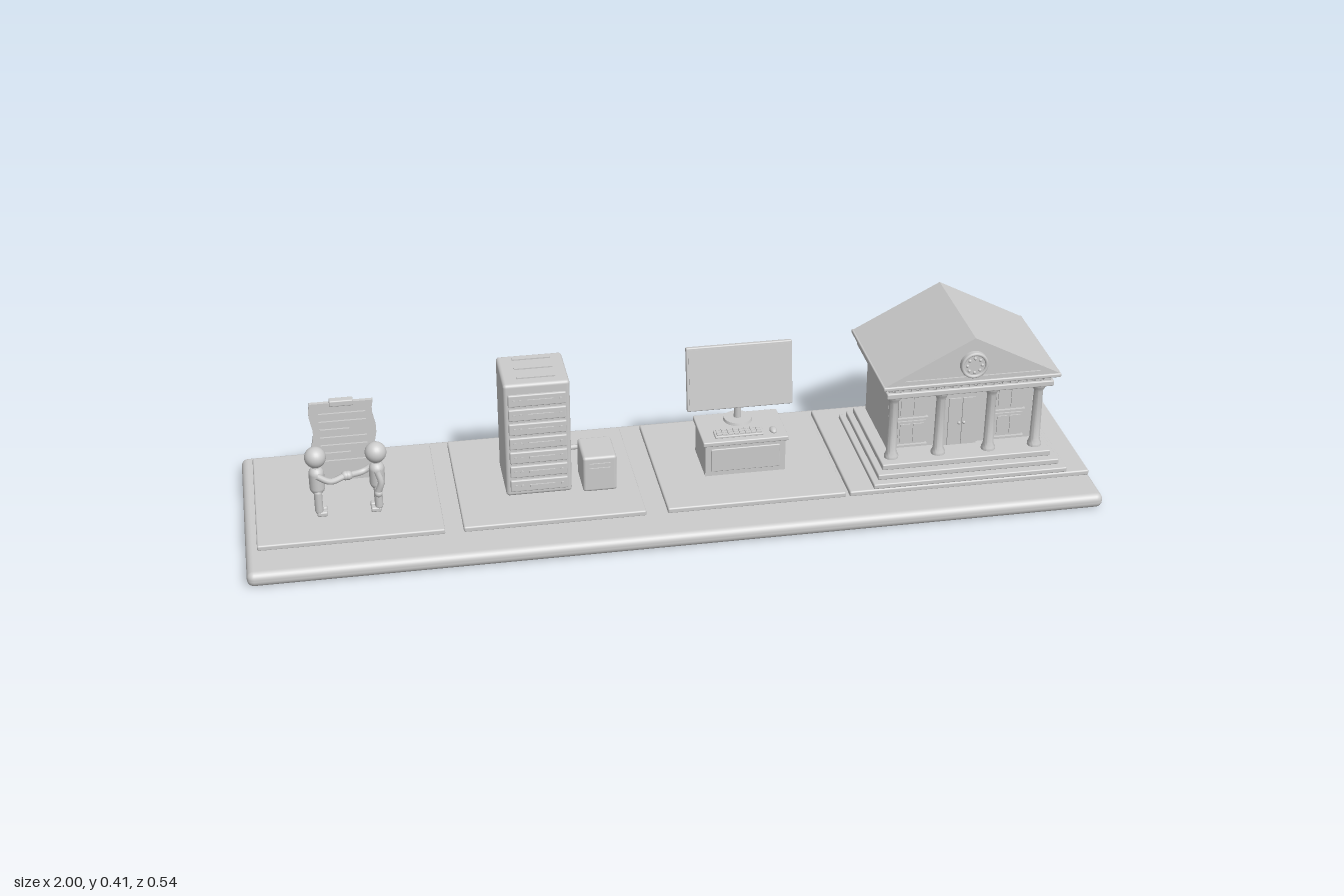
import * as THREE from 'three';
import { RoundedBoxGeometry } from 'three/addons/geometries/RoundedBoxGeometry.js';
import { toCreasedNormals } from 'three/addons/utils/BufferGeometryUtils.js';

const grey = new THREE.MeshStandardMaterial({ color: 0xcccccc });
grey.name = 'plain grey';

function add(parent, name, geometry, x = 0, y = 0, z = 0) {
  const mesh = new THREE.Mesh(geometry, grey);
  mesh.name = name;
  mesh.position.set(x, y, z);
  parent.add(mesh);
  return mesh;
}
// Box given by its limits on each axis, with optional rounded edges
function box(parent, name, x0, x1, y0, y1, z0, z1, r = 0) {
  const s = [x1 - x0, y1 - y0, z1 - z0];
  const g = r ? new RoundedBoxGeometry(...s, 3, r) : new THREE.BoxGeometry(...s);
  return add(parent, name, g, (x0 + x1) / 2, (y0 + y1) / 2, (z0 + z1) / 2);
}
function tube(parent, name, points, r) {
  const curve = new THREE.CatmullRomCurve3(points.map(p => new THREE.Vector3(...p)));
  return add(parent, name, new THREE.TubeGeometry(curve, 24, r, 10));
}
function group(parent, name) {
  const g = new THREE.Group();
  g.name = name;
  parent.add(g);
  return g;
}
const FLOOR = 0.048;

// Two people shaking hands in front of a signed sheet
function makeAgreement(root) {
  const g = group(root, 'agreement');
  const sheet = new THREE.Shape();
  const side = [];
  for (let i = 0; i <= 12; i++) side.push([0.004 * Math.sin(i * 1.05), FLOOR + 0.208 * i / 12]);
  side.forEach(([w, y], i) => i ? sheet.lineTo(-0.681 + w, y) : sheet.moveTo(-0.681 + w, y));
  side.reverse().forEach(([w, y]) => sheet.lineTo(-0.829 + w, y));
  add(g, 'sheet', new THREE.ExtrudeGeometry(sheet, { depth: 0.01, bevelEnabled: false }), 0, 0, -0.108);
  box(g, 'sheetClip', -0.783, -0.727, 0.248, 0.263, -0.112, -0.092, 0.003);
  for (let i = 0; i < 7; i++) {
    box(g, 'writtenLine', -0.81, i % 3 === 2 ? -0.74 : -0.70, 0.225 - i * 0.021, 0.23 - i * 0.021, -0.098, -0.093);
  }
  for (const s of [-1, 1]) {
    const p = group(g, s < 0 ? 'rightPerson' : 'leftPerson');
    p.position.set(-0.757 + s * 0.069, 0, 0.047);
    add(p, 'head', new THREE.SphereGeometry(0.025, 24, 16), 0, 0.197, 0);
    add(p, 'neck', new THREE.CylinderGeometry(0.009, 0.009, 0.02, 12), 0, 0.17, 0);
    add(p, 'torso', new THREE.CapsuleGeometry(0.018, 0.035, 6, 18), 0, 0.137, 0).scale.z = 1.1;
    for (const k of [-1, 1]) {
      add(p, 'leg', new THREE.CapsuleGeometry(0.0095, 0.046, 4, 12), 0, 0.085, k * 0.011);
      box(p, 'shoe', -0.012 - s * 0.007, 0.012 - s * 0.007, FLOOR, 0.06, k * 0.011 - 0.009, k * 0.011 + 0.009, 0.004);
    }
    tube(p, 'shakingArm', [[0, 0.158, -s * 0.021], [-s * 0.03, 0.14, -s * 0.018], [-s * 0.066, 0.142, 0]], 0.0075);
    add(p, 'hand', new THREE.SphereGeometry(0.011, 14, 10), -s * 0.066, 0.142, 0);
    tube(p, 'restingArm', [[0, 0.158, s * 0.021], [s * 0.007, 0.13, s * 0.025], [0, 0.104, s * 0.022]], 0.0075);
    add(p, 'restingHand', new THREE.SphereGeometry(0.0095, 14, 10), 0, 0.1, s * 0.022);
  }
}

// Rack of servers with a small cabled unit beside it
function makeServer(root) {
  const g = group(root, 'serverRack');
  box(g, 'rackCabinet', -0.39, -0.235, FLOOR, 0.342, -0.1, 0.05, 0.008);
  for (let i = 0; i < 7; i++) {
    const y = 0.062 + i * 0.0375;
    box(g, 'serverUnit', -0.38, -0.245, y, y + 0.03, 0.045, 0.056, 0.003);
    box(g, 'driveSlot', -0.335, -0.275, y + 0.012, y + 0.018, 0.055, 0.059);
    for (const x of [-0.367, -0.352, -0.258]) {
      add(g, 'statusLamp', new THREE.CylinderGeometry(0.004, 0.004, 0.005, 12), x, y + 0.015, 0.057).rotation.x = Math.PI / 2;
    }
  }
  for (const z of [-0.075, -0.028, 0.018]) box(g, 'topVent', -0.355, -0.265, 0.34, 0.345, z - 0.004, z + 0.004);
  box(g, 'smallUnit', -0.21, -0.13, FLOOR, 0.14, -0.038, 0.062, 0.007);
  for (const y of [0.108, 0.12]) box(g, 'unitSlot', -0.195, -0.145, y, y + 0.004, 0.061, 0.065);
  tube(g, 'cable', [[-0.238, 0.085, -0.088], [-0.2, 0.085, -0.092], [-0.172, 0.085, -0.07], [-0.165, 0.085, -0.034]], 0.006);
}

// Desk with a tilted screen, keyboard and mouse
function makeWorkstation(root) {
  const g = group(root, 'workstation');
  box(g, 'deskBody', 0.086, 0.28, FLOOR, 0.132, -0.09, 0.038);
  box(g, 'deskTop', 0.08, 0.286, 0.13, 0.142, -0.095, 0.045, 0.003);
  box(g, 'drawerFront', 0.1, 0.266, 0.06, 0.12, 0.036, 0.041, 0.002);
  add(g, 'standFoot', new THREE.CylinderGeometry(0.033, 0.035, 0.007, 32), 0.183, 0.145, -0.058);
  add(g, 'standNeck', new THREE.CylinderGeometry(0.009, 0.009, 0.08, 16), 0.183, 0.185, -0.061);
  const screen = group(g, 'screen');
  screen.position.set(0.183, 0.266, -0.048);
  screen.rotation.x = -0.15;
  box(screen, 'screenCase', -0.128, 0.128, -0.08, 0.08, -0.006, 0.006, 0.003);
  box(screen, 'screenPanel', -0.122, 0.122, -0.074, 0.074, 0.005, 0.008);
  box(g, 'keyboard', 0.112, 0.23, 0.141, 0.147, -0.008, 0.028, 0.002);
  for (let r = 0; r < 3; r++) for (let c = 0; c < 8; c++) {
    box(g, 'key', 0.117 + c * 0.0138, 0.128 + c * 0.0138, 0.146, 0.15, -0.004 + r * 0.01, 0.004 + r * 0.01);
  }
  add(g, 'mouse', new THREE.SphereGeometry(0.011, 18, 12), 0.255, 0.144, 0.012).scale.set(0.8, 0.6, 1.3);
}

// Columned hall with stepped plinth, entablature and gabled roof
function makeHall(root) {
  const g = group(root, 'columnedHall');
  const X = 0.703;
  const slab = (name, half, y0, y1, z0, z1) => box(g, name, X - half, X + half, y0, y1, z0, z1, 0.003);
  slab('lowerStep', 0.237, 0.048, 0.0605, -0.184, 0.169);
  slab('middleStep', 0.222, 0.06, 0.074, -0.173, 0.149);
  slab('upperStep', 0.207, 0.073, 0.088, -0.164, 0.128);
  box(g, 'hallBody', X - 0.178, X + 0.178, 0.087, 0.262, -0.15, 0.053);
  slab('architrave', 0.203, 0.26, 0.2745, -0.168, 0.124);
  slab('frieze', 0.198, 0.274, 0.289, -0.163, 0.118);
  slab('cornice', 0.215, 0.288, 0.298, -0.179, 0.135);

  // Roof
  const gable = new THREE.Shape([[-0.213, 0.297], [0.213, 0.297], [0, 0.408]].map(p => new THREE.Vector2(...p)));
  add(g, 'roof', new THREE.ExtrudeGeometry(gable, { depth: 0.302, bevelEnabled: false }), X, 0, -0.175);
  const rim = new THREE.Shape([[-0.211, 0.298], [0.211, 0.298], [0, 0.408]].map(p => new THREE.Vector2(...p)));
  rim.holes.push(new THREE.Path([[-0.165, 0.308], [0, 0.394], [0.165, 0.308]].map(p => new THREE.Vector2(...p))));
  add(g, 'gableTrim', new THREE.ExtrudeGeometry(rim, { depth: 0.004, bevelEnabled: false }), X, 0, 0.127);

  // Round medallion ringed with studs
  const medal = group(g, 'medallion');
  medal.position.set(X, 0.34, 0.13);
  add(medal, 'medallionDisc', new THREE.CylinderGeometry(0.033, 0.033, 0.014, 40)).rotation.x = Math.PI / 2;
  add(medal, 'medallionRing', new THREE.TorusGeometry(0.029, 0.004, 10, 40), 0, 0, 0.007);
  for (let i = 0; i < 8; i++) {
    const a = i * Math.PI / 4;
    add(medal, 'medallionStud', new THREE.SphereGeometry(0.004, 10, 8), 0.018 * Math.cos(a), 0.018 * Math.sin(a), 0.007);
  }

  // Columns
  const profile = [[0, 0.087], [0.017, 0.087], [0.017, 0.094], [0.014, 0.1], [0.0125, 0.108], [0.011, 0.235],
    [0.013, 0.241], [0.018, 0.249], [0.018, 0.261], [0, 0.261]].map(p => new THREE.Vector2(...p));
  const column = toCreasedNormals(new THREE.LatheGeometry(profile, 28), 0.6);
  for (const x of [-0.177, -0.062, 0.062, 0.177]) add(g, 'column', column, X + x, 0, 0.091);

  // Door and windows
  box(g, 'doorFrame', X - 0.041, X + 0.041, 0.087, 0.232, 0.05, 0.06);
  for (const s of [-1, 1]) {
    box(g, 'doorLeaf', X + s * 0.017 - 0.015, X + s * 0.017 + 0.015, 0.09, 0.215, 0.058, 0.064);
    add(g, 'doorKnob', new THREE.SphereGeometry(0.004, 10, 8), X + s * 0.006, 0.15, 0.066);
    for (const y of [0.1, 0.172]) {
      const x = X + s * 0.12;
      box(g, 'windowFrame', x - 0.034, x + 0.034, y, y + 0.06, 0.05, 0.057);
      for (const k of [-1, 1]) box(g, 'windowPane', x + k * 0.016 - 0.013, x + k * 0.016 + 0.013, y + 0.006, y + 0.054, 0.056, 0.06);
      box(g, 'windowSill', x - 0.038, x + 0.038, y - 0.005, y, 0.05, 0.064);
    }
  }
  // Small blocks under the cornice
  for (let i = 0; i < 19; i++) {
    const x = X - 0.18 + i * 0.02;
    box(g, 'corniceBlock', x - 0.005, x + 0.005, 0.279, 0.289, 0.115, 0.126);
  }
}

export function createModel() {
  const root = new THREE.Group();
  root.name = 'processDisplay';
  box(root, 'base', -1, 1, 0, 0.036, -0.27, 0.27, 0.016);
  for (const [x0, x1] of [[-0.973, -0.546], [-0.503, -0.078], [-0.027, 0.399], [0.408, 0.995]]) {
    box(root, 'floorTile', x0, x1, 0.034, FLOOR, -0.238, 0.17, 0.004);
  }
  makeAgreement(root);
  makeServer(root);
  makeWorkstation(root);
  makeHall(root);
  return root;
}
